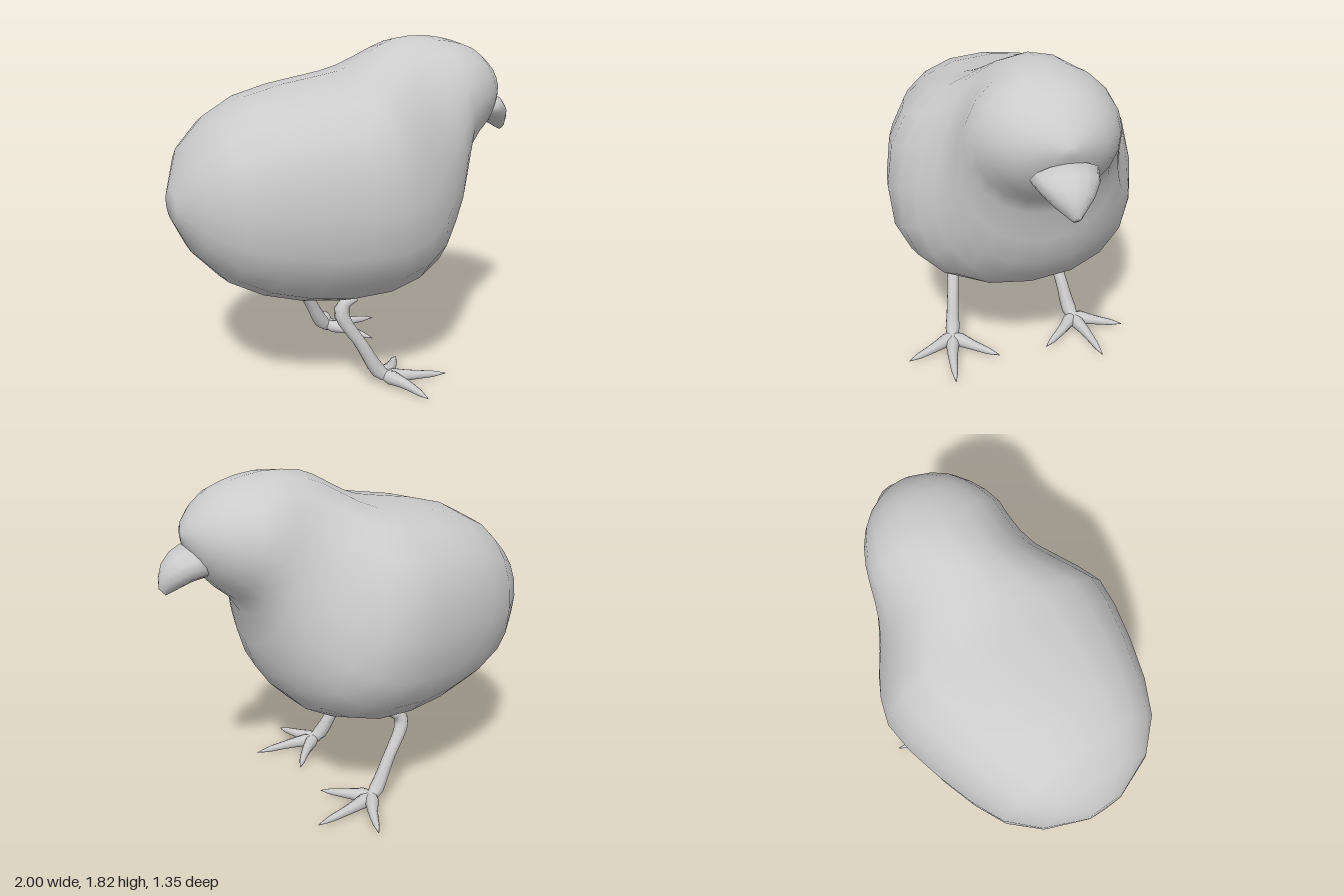
import * as THREE from 'three';

const material = new THREE.MeshStandardMaterial({ color: 0xcccccc });
const power = (v, e) => Math.sign(v) * Math.abs(v) ** e;

// Skin over rings [topX, topY, bottomX, bottomY, halfWidth, squareness = 1, lowHeaviness = 0]
function loft(rings, sides) {
  const pos = [], index = [];
  for (const [tx, ty, bx, by, w, e = 1, low = 0] of rings) {
    for (let j = 0; j < sides; j++) {
      const a = (j / sides) * Math.PI * 2;
      const c = power(Math.cos(a), e), s = power(Math.sin(a), e);
      const t = (1 - c) / 2;
      pos.push(tx + (bx - tx) * t, ty + (by - ty) * t, w * s * (1 - low * c));
    }
  }
  const first = rings[0], last = rings[rings.length - 1];
  for (const r of [first, last]) pos.push((r[0] + r[2]) / 2, (r[1] + r[3]) / 2, 0);
  const startCap = rings.length * sides, endCap = startCap + 1;
  for (let j = 0; j < sides; j++) {
    const k = (j + 1) % sides;
    for (let i = 0; i < rings.length - 1; i++) {
      const p = i * sides, q = p + sides;
      index.push(p + j, p + k, q + j, p + k, q + k, q + j);
    }
    const end = (rings.length - 1) * sides;
    index.push(startCap, k, j, endCap, end + j, end + k);
  }
  const g = new THREE.BufferGeometry();
  g.setAttribute('position', new THREE.Float32BufferAttribute(pos, 3));
  g.setIndex(index);
  g.computeVertexNormals();
  return g;
}

// Tube whose radius follows a list of values spread evenly along its length
function taperedTube(points, radii, segments = 14, sides = 8) {
  const curve = new THREE.CatmullRomCurve3(points.map((p) => new THREE.Vector3(...p)));
  const g = new THREE.TubeGeometry(curve, segments, 1, sides);
  const pos = g.attributes.position, v = new THREE.Vector3();
  for (let i = 0; i <= segments; i++) {
    const centre = curve.getPointAt(i / segments);
    const f = (i / segments) * (radii.length - 1);
    const n = Math.min(Math.floor(f), radii.length - 2);
    const r = THREE.MathUtils.lerp(radii[n], radii[n + 1], f - n);
    for (let j = 0; j <= sides; j++) {
      const id = i * (sides + 1) + j;
      v.fromBufferAttribute(pos, id).sub(centre).multiplyScalar(r).add(centre);
      pos.setXYZ(id, v.x, v.y, v.z);
    }
  }
  return g;
}

function add(parent, name, geometry) {
  const mesh = new THREE.Mesh(geometry, material);
  mesh.name = name;
  parent.add(mesh);
}

// Leg and three toes; side is +1 or -1 along z
function makeLeg(side) {
  const leg = new THREE.Group();
  leg.name = side > 0 ? 'nearLeg' : 'farLeg';
  const at = (pts) => pts.map(([x, y, z]) => [x, y, z * side]);
  add(leg, 'shank', taperedTube(
    at([[-0.12, 0.5, 0.29], [-0.19, 0.48, 0.29], [-0.21, 0.43, 0.3], [-0.11, 0.25, 0.335], [-0.01, 0.08, 0.365], [0.06, 0.045, 0.39]]),
    [0.015, 0.042, 0.036, 0.034, 0.037, 0.043, 0.02], 18));
  const toeRadii = [0.02, 0.04, 0.031, 0.024, 0.018, 0.002];
  add(leg, 'middleToe', taperedTube(at([[-0.02, 0.06, 0.36], [0.15, 0.043, 0.4], [0.365, 0.018, 0.43]]), toeRadii));
  add(leg, 'outerToe', taperedTube(at([[0, 0.065, 0.35], [0.07, 0.05, 0.49], [0.12, 0.025, 0.645]]), toeRadii));
  add(leg, 'innerToe', taperedTube(at([[0, 0.065, 0.38], [0.11, 0.05, 0.27], [0.21, 0.025, 0.14]]), toeRadii));
  return leg;
}

export function createModel() {
  const model = new THREE.Group();
  model.name = 'chick';

  // Body and head as one skin, rings fanning from the tail round to the face
  add(model, 'bodyAndHead', loft([
    [-1, 1.13, -1, 0.97, 0.1],
    [-0.91, 1.34, -0.91, 0.79, 0.32, 0.92],
    [-0.77, 1.47, -0.77, 0.64, 0.46, 0.87],
    [-0.6, 1.56, -0.6, 0.55, 0.54, 0.85],
    [-0.4, 1.61, -0.4, 0.49, 0.605, 0.85],
    [-0.2, 1.64, -0.2, 0.46, 0.655, 0.85],
    [-0.08, 1.66, 0.02, 0.47, 0.675, 0.85, 0.03],
    [0, 1.69, 0.2, 0.515, 0.635, 0.87, 0.1],
    [0.09, 1.74, 0.34, 0.58, 0.565, 0.9, 0.16],
    [0.17, 1.785, 0.44, 0.68, 0.49, 0.93, 0.18],
    [0.25, 1.815, 0.52, 0.8, 0.44, 0.95, 0.14],
    [0.34, 1.825, 0.57, 0.95, 0.41, 1, 0.06],
    [0.44, 1.825, 0.59, 1.12, 0.39],
    [0.54, 1.81, 0.65, 1.21, 0.36],
    [0.62, 1.79, 0.72, 1.27, 0.32],
    [0.7, 1.76, 0.775, 1.33, 0.27],
    [0.78, 1.7, 0.82, 1.4, 0.2],
    [0.84, 1.635, 0.855, 1.48, 0.11],
    [0.87, 1.575, 0.87, 1.53, 0.03],
  ], 20));

  // Down-curved beak
  add(model, 'beak', loft([
    [0.8, 1.47, 0.75, 1.36, 0.12],
    [0.86, 1.5, 0.77, 1.345, 0.165],
    [0.92, 1.47, 0.85, 1.325, 0.14],
    [0.97, 1.42, 0.91, 1.295, 0.095],
    [0.995, 1.36, 0.945, 1.275, 0.05],
    [0.998, 1.3, 0.967, 1.265, 0.02],
  ], 12));

  for (const side of [1, -1]) model.add(makeLeg(side));
  return model;
}
